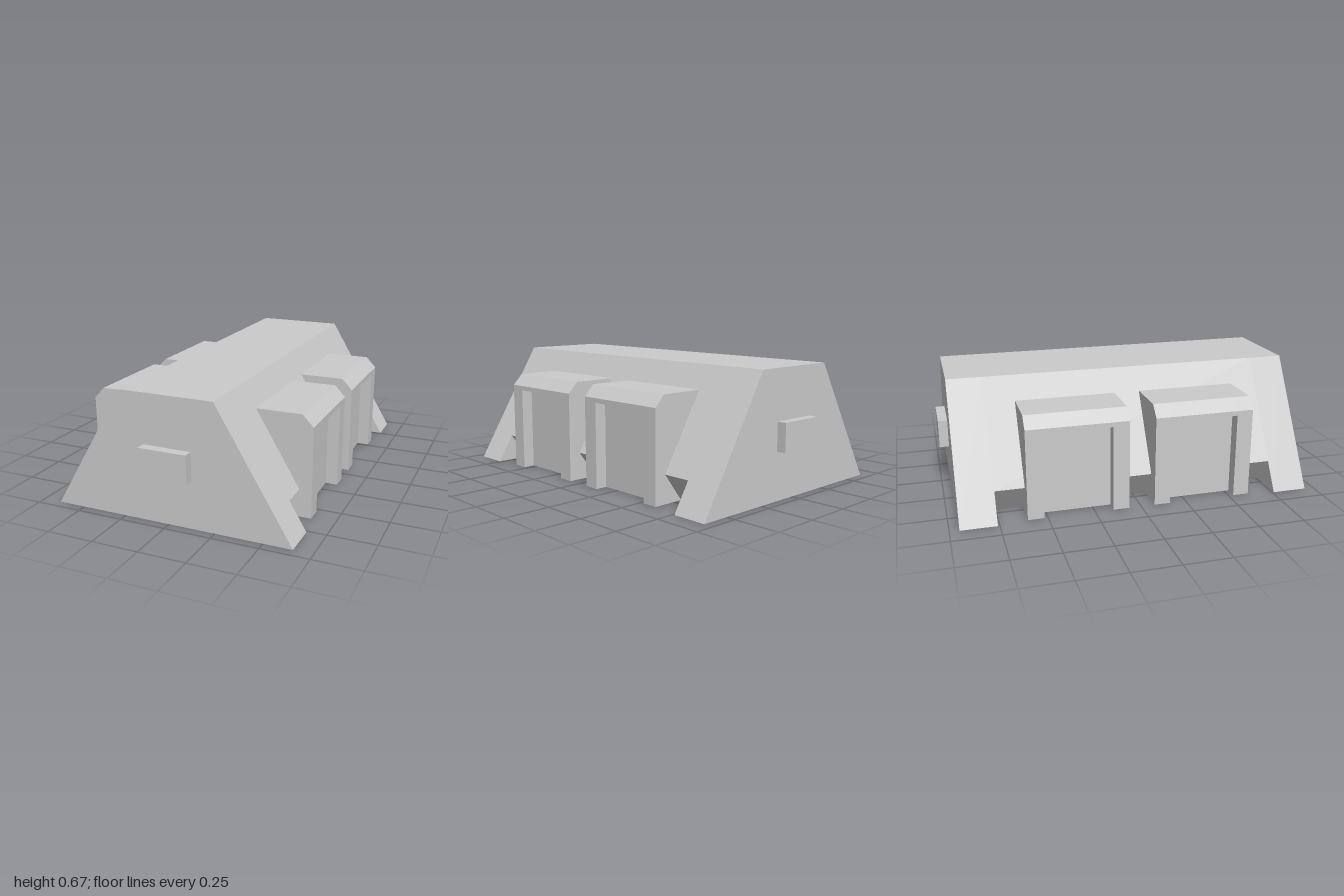
import * as THREE from 'three';

const material = new THREE.MeshStandardMaterial({ color: 0xcccccc, flatShading: true });

// Extrude an x/y outline between two z positions
function slab(name, points, z0, z1) {
  const shape = new THREE.Shape(points.map(([x, y]) => new THREE.Vector2(x, y)));
  const geometry = new THREE.ExtrudeGeometry(shape, { depth: z1 - z0, bevelEnabled: false });
  geometry.translate(0, 0, z0);
  const mesh = new THREE.Mesh(geometry, material);
  mesh.name = name;
  return mesh;
}

// Full outline from its right half, listed bottom to top
const mirrored = (half) => [...half, ...half.map(([x, y]) => [-x, y]).reverse()];

export function createModel() {
  const model = new THREE.Group();
  model.name = 'building';

  // Sloped hall: full-width ends, undercut along the middle
  const endOutline = mirrored([[0.65, 0], [0.25, 0.667]]);
  const undercutOutline = mirrored([[0.45, 0], [0.56, 0.15], [0.25, 0.667]]);
  model.add(
    slab('frontEnd', endOutline, 0.76, 0.95),
    slab('hall', undercutOutline, -0.76, 0.76),
    slab('backEnd', endOutline, -0.95, -0.76),
  );

  // Chamfered side bays, each with a recessed doorway
  const roof = [[0.625, 0.485], [0.568, 0.545], [0.3, 0.545], [0.3, 0.15]];
  const pillarOutline = [[0.45, 0], [0.625, 0], ...roof];
  const doorOutline = [[0.45, 0], [0.56, 0], [0.56, 0.46], [0.625, 0.46], ...roof];
  for (const side of [1, -1]) {
    const flip = (outline) => outline.map(([x, y]) => [side * x, y]);
    for (const z of [0.345, -0.335]) {
      const bay = new THREE.Group();
      bay.name = (side > 0 ? 'left' : 'right') + (z > 0 ? 'Front' : 'Back') + 'Bay';
      bay.add(
        slab('frontPillar', flip(pillarOutline), 0.183, 0.27),
        slab('doorway', flip(doorOutline), -0.183, 0.183),
        slab('backPillar', flip(pillarOutline), -0.27, -0.183),
      );
      bay.position.z = z;
      model.add(bay);
    }
  }

  // Raised panels on both end walls
  for (const end of [1, -1]) {
    const panel = new THREE.Mesh(new THREE.BoxGeometry(0.26, 0.15, 0.06), material);
    panel.name = end > 0 ? 'frontPanel' : 'backPanel';
    panel.position.set(0, 0.328, end * 0.97);
    model.add(panel);
  }
  return model;
}
